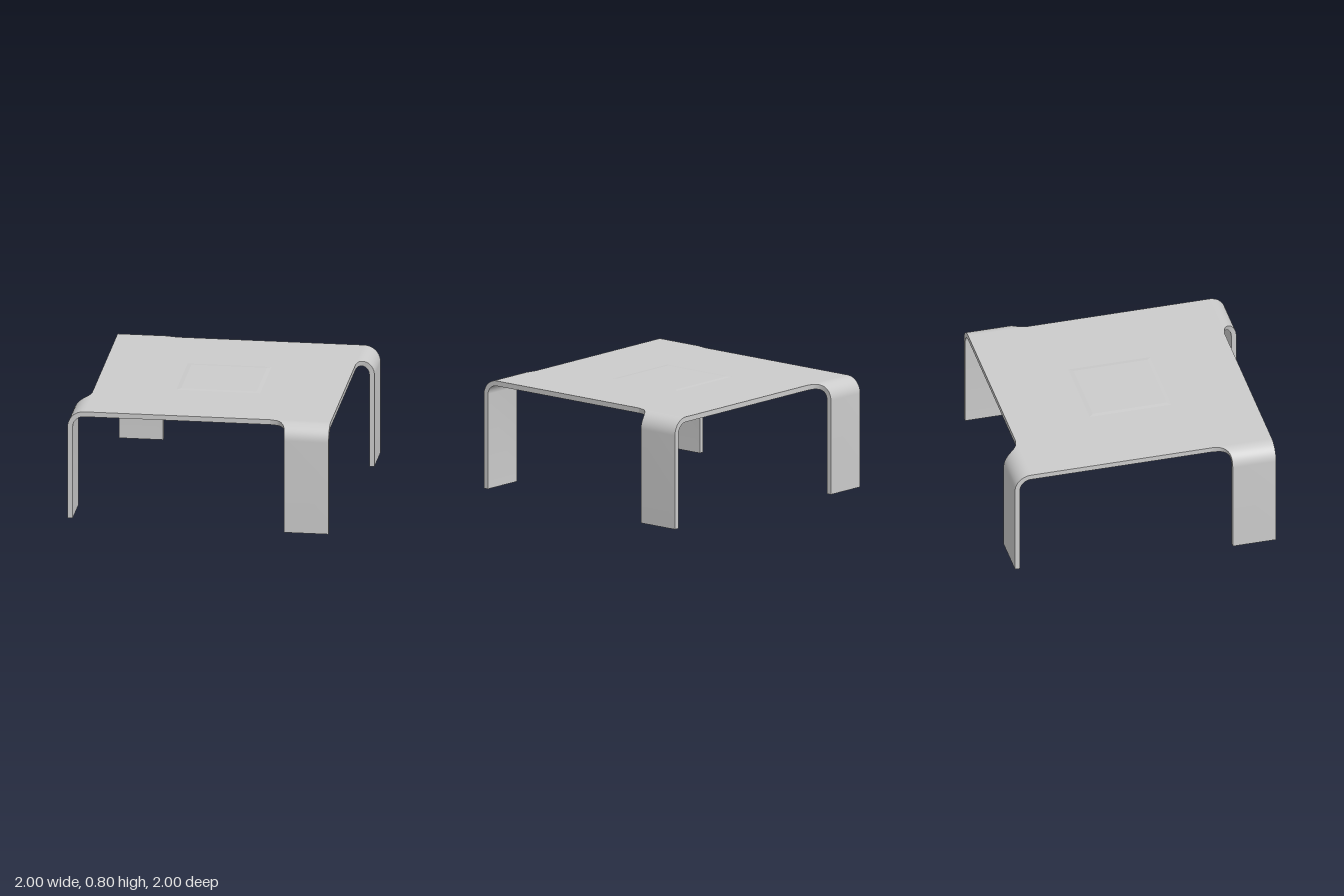
import * as THREE from 'three';
import { toCreasedNormals } from 'three/addons/utils/BufferGeometryUtils.js';

const HALF = 0.883;  // half width of the flat top
const TOP = 0.798;   // upper face of the sheet
const THICK = 0.037; // sheet thickness
const BEND = 1 - HALF; // outer bend radius, also the fillet radius
const LEG_IN = 0.565;  // inner edge of a leg

// Bent leg: a loop of four corners swept over the bend and down to the floor
function legGeometry() {
  const sections = [];
  const addSection = (a, drop) => {
    const point = (r) => [TOP - BEND + r * Math.cos(a) - drop, HALF + r * Math.sin(a)];
    const [yo, zo] = point(BEND);
    const [yi, zi] = point(BEND - THICK);
    // concave fillet between the table edge and the leg
    const x = LEG_IN - BEND + Math.sqrt(Math.max(0, BEND ** 2 - (1 - zo) ** 2));
    sections.push([[x, yo, zo], [HALF, yo, zo], [HALF, yi, zi], [x, yi, zi]]);
  };
  const steps = 14;
  for (let i = 0; i <= steps; i++) addSection((i / steps) * Math.PI / 2, 0);
  addSection(Math.PI / 2, TOP - BEND);

  const pos = [];
  const quad = (a, b, c, d) => pos.push(...a, ...b, ...c, ...a, ...c, ...d);
  for (let i = 0; i < sections.length - 1; i++) {
    const s = sections[i], t = sections[i + 1];
    for (let k = 0; k < 4; k++) {
      const n = (k + 1) % 4;
      quad(s[k], t[k], t[n], s[n]);
    }
  }
  const [ol, or, ir, il] = sections[sections.length - 1];
  quad(ol, il, ir, or); // foot
  const geometry = new THREE.BufferGeometry();
  geometry.setAttribute('position', new THREE.Float32BufferAttribute(pos, 3));
  return toCreasedNormals(geometry, 0.6);
}

export function createModel() {
  const group = new THREE.Group();
  const material = new THREE.MeshStandardMaterial({ color: 0xcccccc });
  const add = (name, geometry, mat = material) => {
    const mesh = new THREE.Mesh(geometry, mat);
    mesh.name = name;
    group.add(mesh);
    return mesh;
  };

  // Flat top
  add('tableTop', new THREE.BoxGeometry(2 * HALF, THICK, 2 * HALF)).position.y = TOP - THICK / 2;

  // Barely raised square in the middle, on both faces
  const flat = new THREE.MeshStandardMaterial({ color: 0xcccccc, flatShading: true });
  const rise = 0.003;
  for (const side of [1, -1]) {
    const geometry = new THREE.CylinderGeometry(0.27 * Math.SQRT2, 0.3 * Math.SQRT2, rise, 4);
    geometry.rotateY(Math.PI / 4);
    if (side < 0) geometry.rotateX(Math.PI);
    add(side > 0 ? 'upperCentrePanel' : 'lowerCentrePanel', geometry, flat)
      .position.y = TOP - THICK / 2 + side * (THICK + rise) / 2;
  }

  // Four legs in pinwheel order
  const leg = legGeometry();
  ['frontLeg', 'leftLeg', 'backLeg', 'rightLeg'].forEach((name, i) => {
    add(name, leg).rotation.y = i * Math.PI / 2;
  });
  return group;
}
